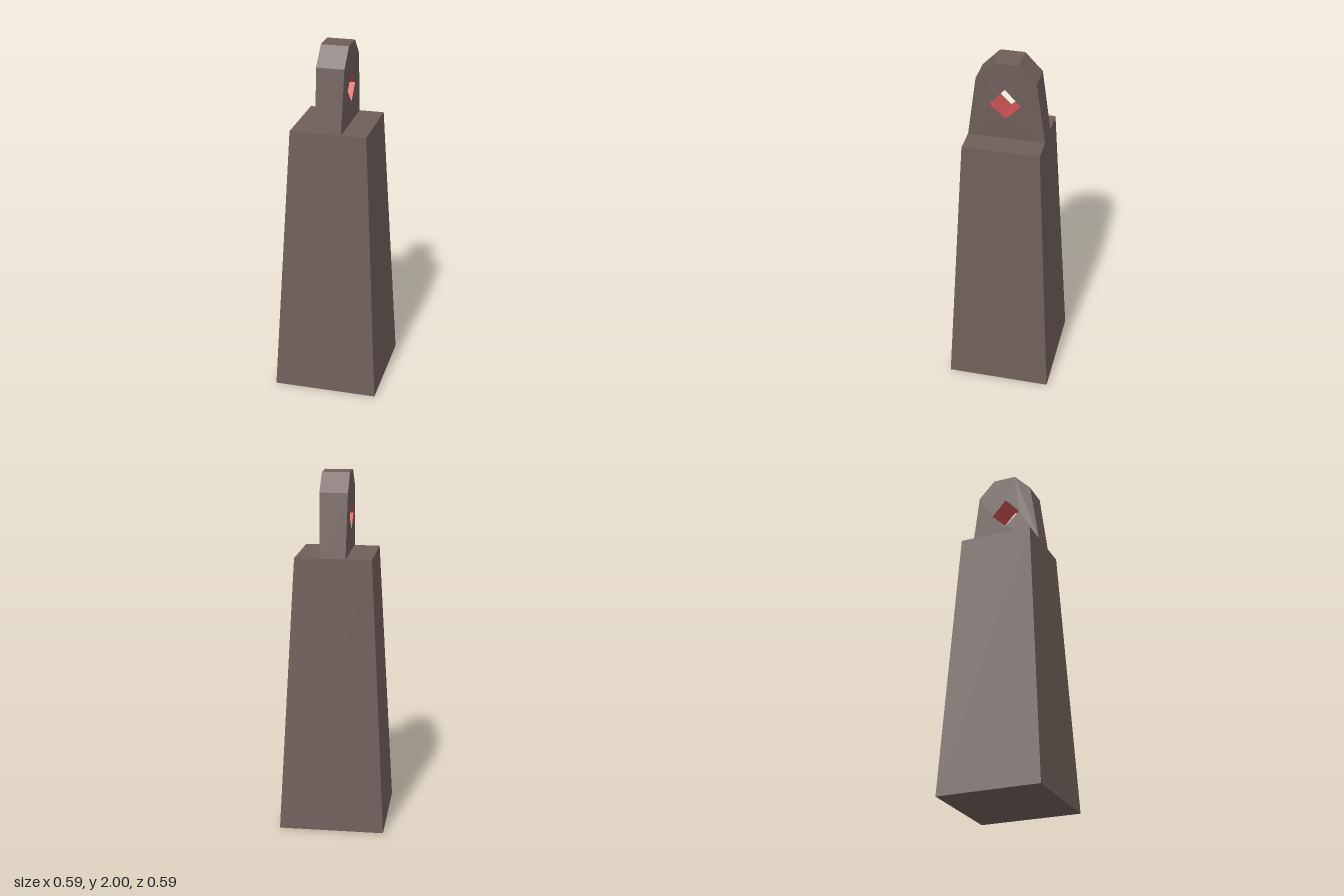
import * as THREE from 'three';

export function createModel() {
  const model = new THREE.Group();
  const stone = new THREE.MeshStandardMaterial({ color: 0x6f5f5a, flatShading: true });
  stone.name = 'brown stone';
  const red = new THREE.MeshStandardMaterial({ color: 0xcc5252, flatShading: true });
  red.name = 'red hole lining';

  // Square tapering body
  const bodyHeight = 1.55;
  const bodyGeometry = new THREE.CylinderGeometry(0.212 * Math.SQRT2, 0.295 * Math.SQRT2, bodyHeight, 4);
  bodyGeometry.rotateY(Math.PI / 4).translate(0, bodyHeight / 2, 0);
  const body = new THREE.Mesh(bodyGeometry, stone);
  body.name = 'taperedBody';
  model.add(body);

  // Upright lug: outline in z and y, with a diamond hole
  const toPoints = (list) => list.map(([z, y]) => new THREE.Vector2(z, y));
  const outline = new THREE.Shape(toPoints([
    [-0.212, 1.55], [0.212, 1.55], [0.163, 1.9], [0.066, 2], [-0.068, 2], [-0.163, 1.9],
  ]));
  outline.holes.push(new THREE.Path(toPoints([
    [0.006, 1.675], [-0.079, 1.757], [0.006, 1.85], [0.091, 1.757],
  ])));
  const width = 0.154;
  const lugGeometry = new THREE.ExtrudeGeometry(outline, { depth: width, bevelEnabled: false });
  lugGeometry.rotateY(-Math.PI / 2).translate(width / 2, 0, 0);

  // Narrow the lug slightly where it meets the body
  const position = lugGeometry.attributes.position;
  for (let i = 0; i < position.count; i++) {
    const scale = position.getY(i) < 1.6 ? 0.92 : 1;
    position.setX(i, position.getX(i) * scale + 0.002);
  }
  lugGeometry.computeVertexNormals();

  // The last four quads line the hole
  const holeVertices = 4 * 6;
  lugGeometry.clearGroups();
  lugGeometry.addGroup(0, position.count - holeVertices, 0);
  lugGeometry.addGroup(position.count - holeVertices, holeVertices, 1);
  const lug = new THREE.Mesh(lugGeometry, [stone, red]);
  lug.name = 'hangingLug';
  model.add(lug);

  return model;
}
